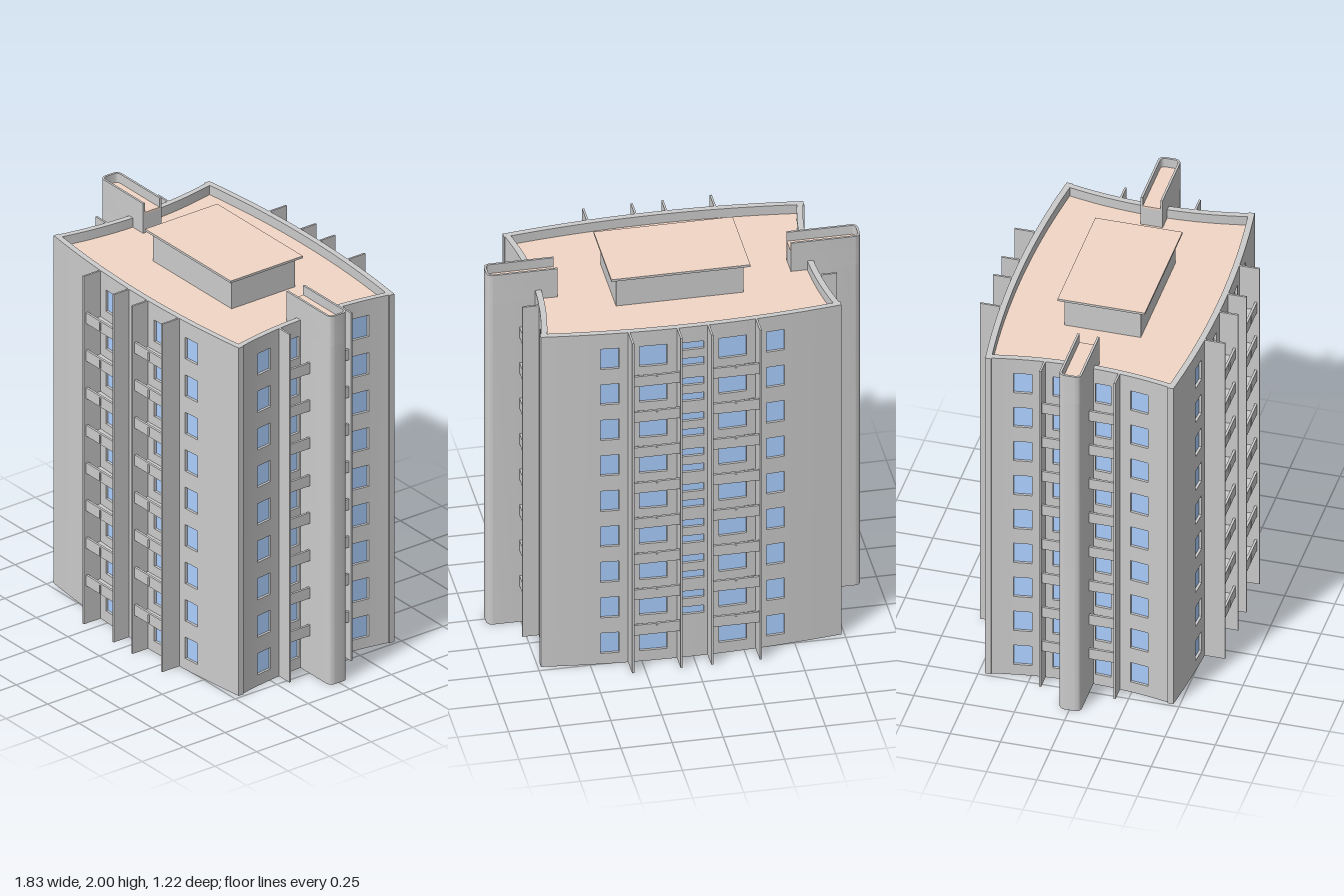
import * as THREE from 'three';
import { mergeGeometries, toCreasedNormals } from 'three/addons/utils/BufferGeometryUtils.js';

const grey = new THREE.MeshStandardMaterial({ color: 0xcccccc });
const blue = new THREE.MeshStandardMaterial({ color: 0xabcfff });
const tan = new THREE.MeshStandardMaterial({ color: 0xf2d6c6 });

const WALL_TOP = 1.88, ROOF = 1.83, THICK = 0.03;
const PITCH = 0.2025, FLOORS = 9, SILL = 0.06, WIN_H = 0.115;
const HALF_W = 0.735, HALF_D = 0.468;

// Outward distance of each facade: the long ones bow out, the short ones bow in
const longOut = s => 0.518 - 0.05 * (s / HALF_W) ** 2;
const shortOut = s => 0.68 + 0.055 * (s / HALF_D) ** 2;

const levels = (first, n) => Array.from({ length: n }, (_, i) => first + i * PITCH);

function add(group, name, geometry, material = grey) {
  const mesh = new THREE.Mesh(geometry, material);
  mesh.name = name;
  group.add(mesh);
  return mesh;
}

// Box given by its limits
function box(x0, x1, y0, y1, z0, z1) {
  return new THREE.BoxGeometry(x1 - x0, y1 - y0, z1 - z0)
    .translate((x0 + x1) / 2, (y0 + y1) / 2, (z0 + z1) / 2);
}

// Box bent along a facade curve; d0..d1 is its depth behind the outer face
function bentBox(out, s0, s1, y0, y1, d0, d1) {
  const n = Math.max(1, Math.ceil((s1 - s0) / 0.07));
  const g = new THREE.BoxGeometry(s1 - s0, y1 - y0, d1 - d0, n, 1, 1)
    .translate((s0 + s1) / 2, (y0 + y1) / 2, -(d0 + d1) / 2);
  const p = g.attributes.position;
  for (let i = 0; i < p.count; i++) p.setZ(i, p.getZ(i) + out(p.getX(i)));
  return g;
}

// Wall with window columns, facing +z
function facade(name, out, half, columns) {
  const group = new THREE.Group();
  group.name = name;
  const wall = [], glass = [];
  let s = -half;
  for (const c of columns) {
    const a = c.s - c.w / 2, b = c.s + c.w / 2;
    wall.push(bentBox(out, s, a, 0, WALL_TOP, 0, THICK));
    let y = 0;
    for (const sill of c.sills) {
      wall.push(bentBox(out, a, b, y, sill, 0, THICK));
      glass.push(bentBox(out, a, b, sill, sill + c.h, 0.013, 0.019));
      y = sill + c.h;
    }
    wall.push(bentBox(out, a, b, y, WALL_TOP, 0, THICK));
    s = b;
  }
  wall.push(bentBox(out, s, half, 0, WALL_TOP, 0, THICK));
  add(group, 'wall', toCreasedNormals(mergeGeometries(wall), 0.4));
  add(group, 'windows', mergeGeometries(glass), blue);
  return group;
}

// Stack of balconies between s0 and s1: floor slabs and solid railings
function balconies(group, out, s0, s1, rail, drain) {
  const parts = [];
  const wall = Math.min(out(s0), out(s1)) - 0.01;
  for (const y of levels(0.205, FLOORS - 1)) {
    parts.push(box(s0, s1, y, y + 0.01, wall, rail));
    parts.push(box(s0, s1, y, y + 0.058, rail - 0.012, rail));
    if (drain) {
      const m = (s0 + s1) / 2;
      parts.push(box(m - 0.005, m + 0.005, y + 0.008, y + 0.05, rail - 0.002, rail + 0.004));
    }
  }
  add(group, 'balconies', mergeGeometries(parts));
}

function fin(group, out, s, end) {
  add(group, 'balconyFin', box(s - 0.005, s + 0.005, 0, WALL_TOP, out(s) - 0.015, end));
}

// U-shaped shaft wall, open towards the building, with rounded outer corners
function shaftWall(x0, y0, y1) {
  const arm = (x, h, r, path, back) => {
    const pts = [[x0, -h], [x - r, -h]];
    for (let i = 1; i <= 6; i++) {
      const a = (i / 6) * Math.PI / 2;
      pts.push([x - r + r * Math.sin(a), -h + r - r * Math.cos(a)]);
    }
    const all = pts.concat(pts.map(([px, pz]) => [px, -pz]).reverse());
    return back ? all.reverse() : all;
  };
  const pts = arm(0.915, 0.055, 0.03).concat(arm(0.904, 0.044, 0.02, null, true));
  const shape = new THREE.Shape(pts.map(([x, z]) => new THREE.Vector2(x, z)));
  const g = new THREE.ExtrudeGeometry(shape, { depth: y1 - y0, bevelEnabled: false });
  return toCreasedNormals(g.rotateX(-Math.PI / 2).translate(0, y0, 0), 0.6);
}

function roofDeck() {
  const pts = [], n = 16, inset = 0.015;
  const w = HALF_W - inset, d = HALF_D - inset;
  const corners = [[longOut, w, 0], [shortOut, d, 1], [longOut, w, 2], [shortOut, d, 3]];
  for (const [out, half, turn] of corners) {
    for (let i = 0; i < n; i++) {
      const s = half - (2 * half * i) / n;
      pts.push(new THREE.Vector2(s, out(s) - inset)
        .rotateAround(new THREE.Vector2(), turn * Math.PI / 2));
    }
  }
  const g = new THREE.ExtrudeGeometry(new THREE.Shape(pts), { depth: 0.01, bevelEnabled: false });
  return g.rotateX(-Math.PI / 2).translate(0, ROOF - 0.01, 0);
}

export function createModel() {
  const model = new THREE.Group();
  model.name = 'apartmentBlock';

  const sills = levels(SILL, FLOORS);
  const stairSills = levels(0.243, FLOORS - 1).flatMap(y => [y, y + 0.09]);
  const column = (s, w) => ({ s, w, sills, h: WIN_H });

  for (const turn of [0, Math.PI]) {
    // Long facade with two balcony stacks and the small stair windows
    const long = facade('longFacade', longOut, HALF_W, [
      column(-0.405, 0.09), column(-0.195, 0.135),
      { s: 0, w: 0.105, sills: stairSills, h: 0.042 },
      column(0.195, 0.135), column(0.405, 0.09),
    ]);
    for (const m of [-1, 1]) {
      const edges = [m * 0.075, m * 0.312];
      balconies(long, longOut, Math.min(...edges), Math.max(...edges), 0.598, true);
      edges.forEach(s => fin(long, longOut, s, 0.61));
    }
    long.rotation.y = turn;
    model.add(long);

    // Short facade with balconies on both sides of the shaft
    const short = facade('shortFacade', shortOut, HALF_D - 0.008, [
      column(-0.29, 0.09), column(-0.105, 0.08), column(0.105, 0.08), column(0.29, 0.09),
    ]);
    for (const m of [-1, 1]) {
      const edges = [m * 0.05, m * 0.185];
      balconies(short, shortOut, Math.min(...edges), Math.max(...edges), 0.757, false);
      fin(short, shortOut, m * 0.185, 0.77);
    }
    short.rotation.y = Math.PI / 2 + turn;
    model.add(short);

    // Shaft rising past the parapet and reaching in over the roof
    const shaft = new THREE.Group();
    shaft.name = 'shaft';
    add(shaft, 'lowerShaft', shaftWall(0.66, 0, ROOF));
    add(shaft, 'upperShaft', shaftWall(0.57, ROOF, 1.99));
    add(shaft, 'shaftEnd', box(0.571, 0.59, ROOF, 1.93, -0.046, 0.046));
    add(shaft, 'shaftRoof', box(0.571, 0.906, 1.93, 1.94, -0.046, 0.046), tan);
    shaft.rotation.y = turn;
    model.add(shaft);
  }

  // Roof and penthouse
  add(model, 'roofDeck', roofDeck(), tan);
  add(model, 'penthouse', box(-0.312, 0.312, ROOF, 1.99, -0.19, 0.19));
  add(model, 'penthouseRoof', box(-0.34, 0.34, 1.988, 2, -0.217, 0.217),
    [grey, grey, tan, grey, grey, grey]);

  return model;
}
